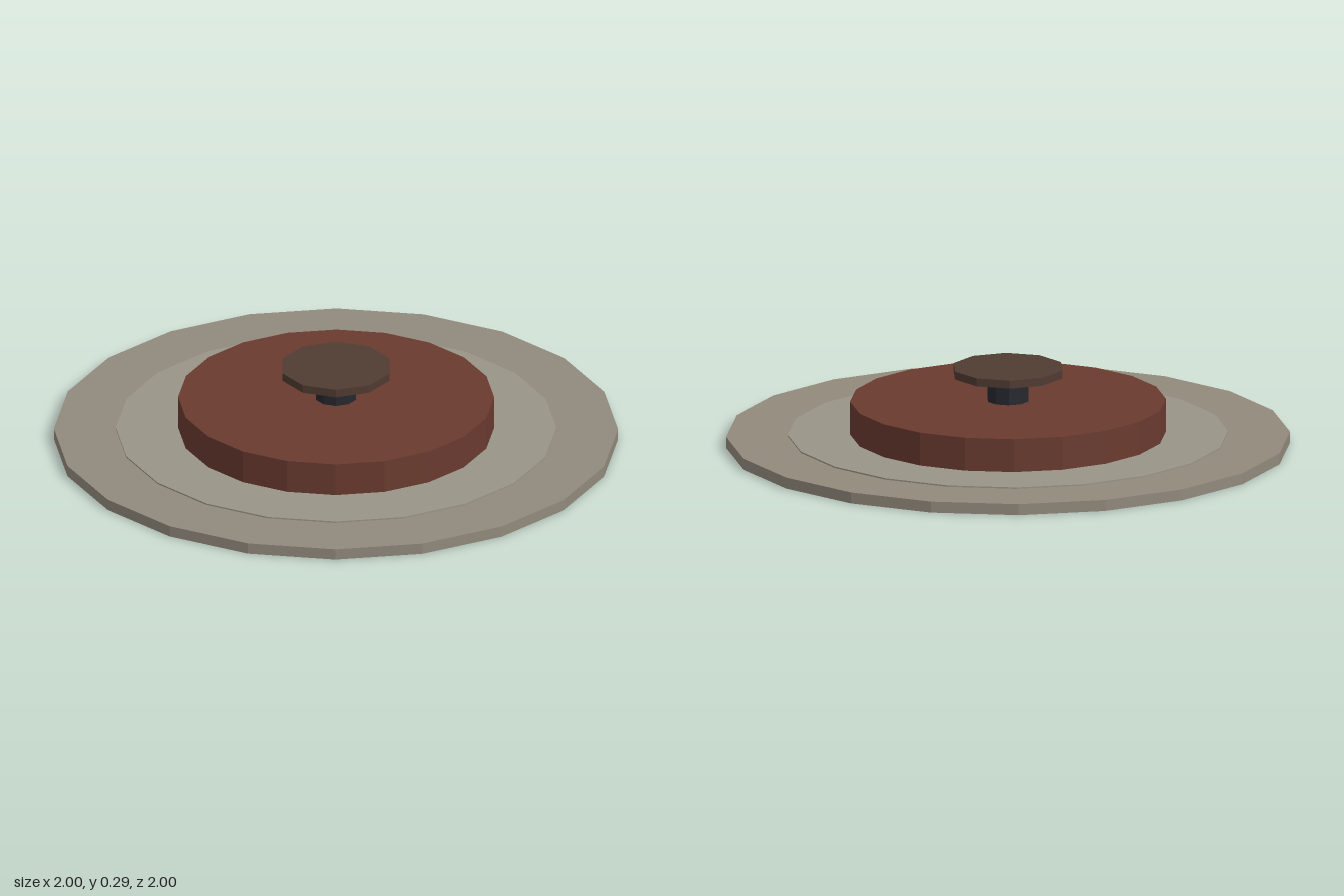
import * as THREE from 'three';

// Faceted disc shell: outer wall and top, open underneath
function disc(name, color, radius, bottom, top, sides) {
  const profile = [
    new THREE.Vector2(radius, bottom),
    new THREE.Vector2(radius, top),
    new THREE.Vector2(0, top),
  ];
  // a corner of every disc lies on the x axis
  const geometry = new THREE.LatheGeometry(profile, sides, Math.PI / 2);
  const material = new THREE.MeshStandardMaterial({
    color, flatShading: true, side: THREE.DoubleSide,
  });
  const mesh = new THREE.Mesh(geometry, material);
  mesh.name = name;
  return mesh;
}

export function createModel() {
  const model = new THREE.Group();
  model.name = 'steppedPlate';
  model.add(
    // wide base and the thin raised step on it; the step walls reach below the base top
    disc('basePlate', 0x91897c, 1, 0, 0.04, 20),
    disc('innerPlate', 0x989486, 0.78, 0.012, 0.045, 20),
    // raised drum
    disc('drum', 0x693a2f, 0.56, 0.012, 0.165, 20),
    // short post with a flat knob hovering just above it
    disc('post', 0x25282f, 0.075, 0.155, 0.25, 10),
    disc('knob', 0x503b31, 0.2, 0.258, 0.287, 10),
  );
  return model;
}
